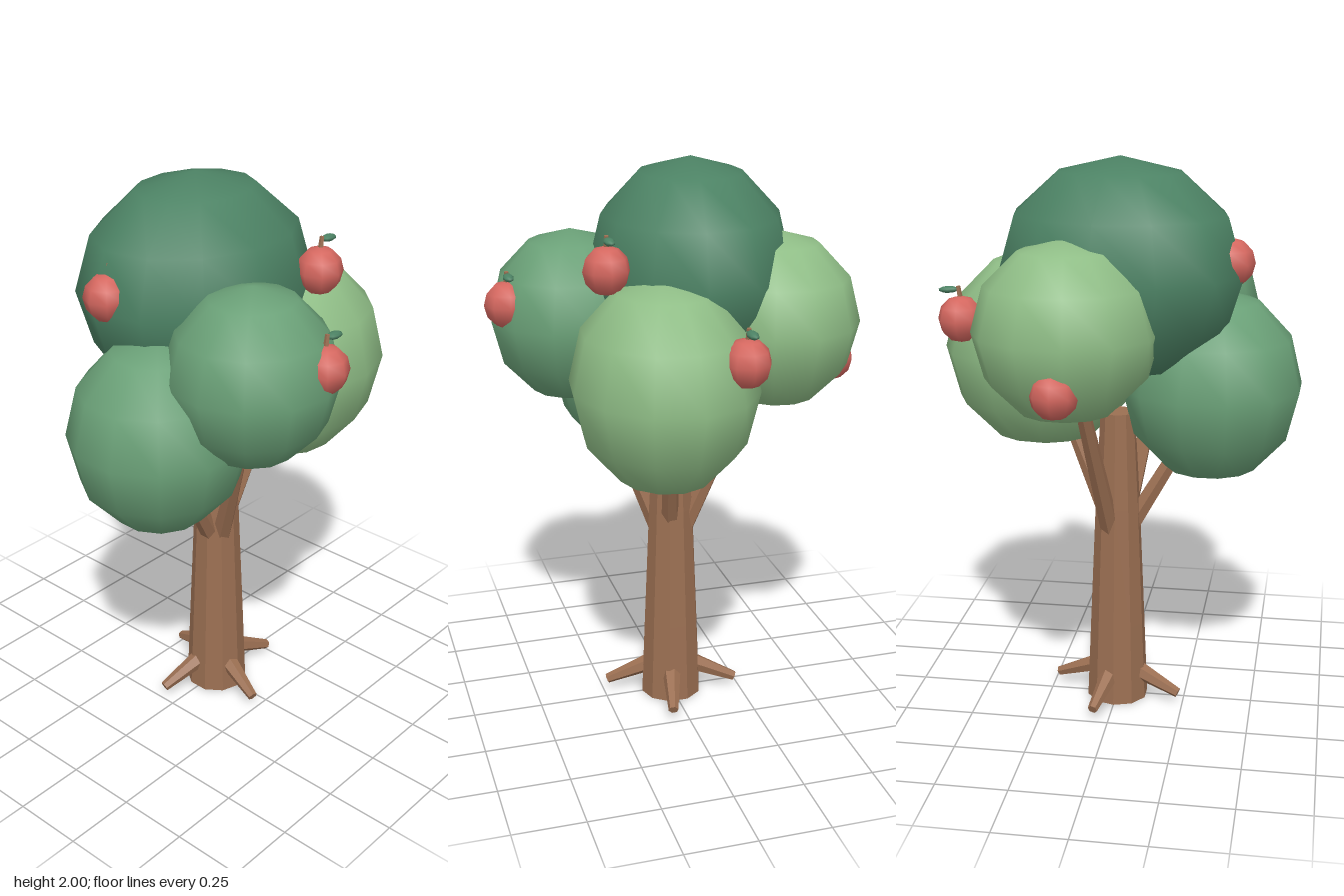
import * as THREE from 'three';

const mat = (color, flatShading = false) => new THREE.MeshStandardMaterial({ color, flatShading });
const bark = mat(0x9b6f52, true);
const darkGreen = mat(0x4c8264);
const midGreen = mat(0x6aa077);
const lightGreen = mat(0x8fbd86);
const red = mat(0xd4675f);

function add(parent, name, geometry, material) {
  const mesh = new THREE.Mesh(geometry, material);
  mesh.name = name;
  parent.add(mesh);
  return mesh;
}

// Tapered limb running between two points
function limb(parent, name, from, to, r0, r1, sides = 6) {
  const a = new THREE.Vector3(...from), b = new THREE.Vector3(...to);
  const dir = b.clone().sub(a);
  const mesh = add(parent, name, new THREE.CylinderGeometry(r1, r0, dir.length(), sides), bark);
  mesh.position.copy(a).add(b).multiplyScalar(0.5);
  mesh.quaternion.setFromUnitVectors(new THREE.Vector3(0, 1, 0), dir.normalize());
  return mesh;
}

// Ellipsoid with a low segment count and smooth normals
function blob(parent, name, position, radii, material, turn = 0, w = 12, h = 6) {
  const mesh = add(parent, name, new THREE.SphereGeometry(1, w, h), material);
  mesh.position.set(...position);
  mesh.scale.set(...radii);
  mesh.rotation.y = turn;
  return mesh;
}

function createApple(position) {
  const apple = new THREE.Group();
  apple.name = 'apple';
  apple.position.set(...position);
  blob(apple, 'appleBody', [0, 0, 0], [0.082, 0.082, 0.08], red, 0, 8, 6);
  limb(apple, 'appleStem', [0, 0.065, 0], [0.008, 0.115, 0], 0.01, 0.008, 5);
  const leaf = blob(apple, 'appleLeaf', [0.042, 0.102, 0], [0.036, 0.012, 0.019], darkGreen, 0, 8, 5);
  leaf.rotation.z = -0.06;
  return apple;
}

export function createModel() {
  const tree = new THREE.Group();
  tree.name = 'tree';

  // Trunk with closed ends
  const profile = [[0, 0], [0.112, 0], [0.1, 0.3], [0.081, 0.75], [0.062, 1.1], [0, 1.1]];
  add(tree, 'trunk', new THREE.LatheGeometry(profile.map(p => new THREE.Vector2(...p)), 10), bark);

  // Roots
  for (let i = 0; i < 4; i++) {
    const a = 0.24 + i * Math.PI / 2;
    const c = Math.cos(a), s = Math.sin(a);
    limb(tree, 'root', [c * 0.06, 0.115, s * 0.06], [c * 0.24, 0.04, s * 0.24], 0.036, 0.018);
  }

  // Branches reaching into the foliage
  limb(tree, 'leftBranch', [0.03, 0.68, 0.01], [0.2, 1.08, 0.06], 0.034, 0.024);
  limb(tree, 'rightBranch', [-0.03, 0.64, 0.01], [-0.25, 1.02, 0.04], 0.036, 0.026);
  limb(tree, 'frontBranch', [-0.02, 0.66, 0.04], [-0.12, 1.2, 0.24], 0.036, 0.024);
  limb(tree, 'backBranch', [0.02, 0.66, -0.04], [0.09, 1.24, -0.28], 0.036, 0.024);

  // Foliage
  blob(tree, 'crownFoliage', [-0.02, 1.62, -0.075], [0.43, 0.38, 0.355], darkGreen, -0.15);
  blob(tree, 'rightFoliage', [-0.33, 1.2, 0.04], [0.32, 0.345, 0.31], midGreen, 0.25);
  blob(tree, 'frontFoliage', [-0.18, 1.44, 0.31], [0.29, 0.305, 0.29], midGreen, 0.1);
  blob(tree, 'leftFoliage', [0.28, 1.3, 0.105], [0.36, 0.365, 0.312], lightGreen, 0.1);
  blob(tree, 'backFoliage', [0.12, 1.455, -0.335], [0.312, 0.308, 0.288], lightGreen, 0.15);

  // Apples
  const apples = [
    [0.205, 1.68, 0.275], [-0.11, 1.51, 0.548], [0.535, 1.435, -0.095],
    [-0.397, 1.66, -0.115], [0.12, 1.3, -0.55],
  ];
  for (const p of apples) tree.add(createApple(p));

  return tree;
}
